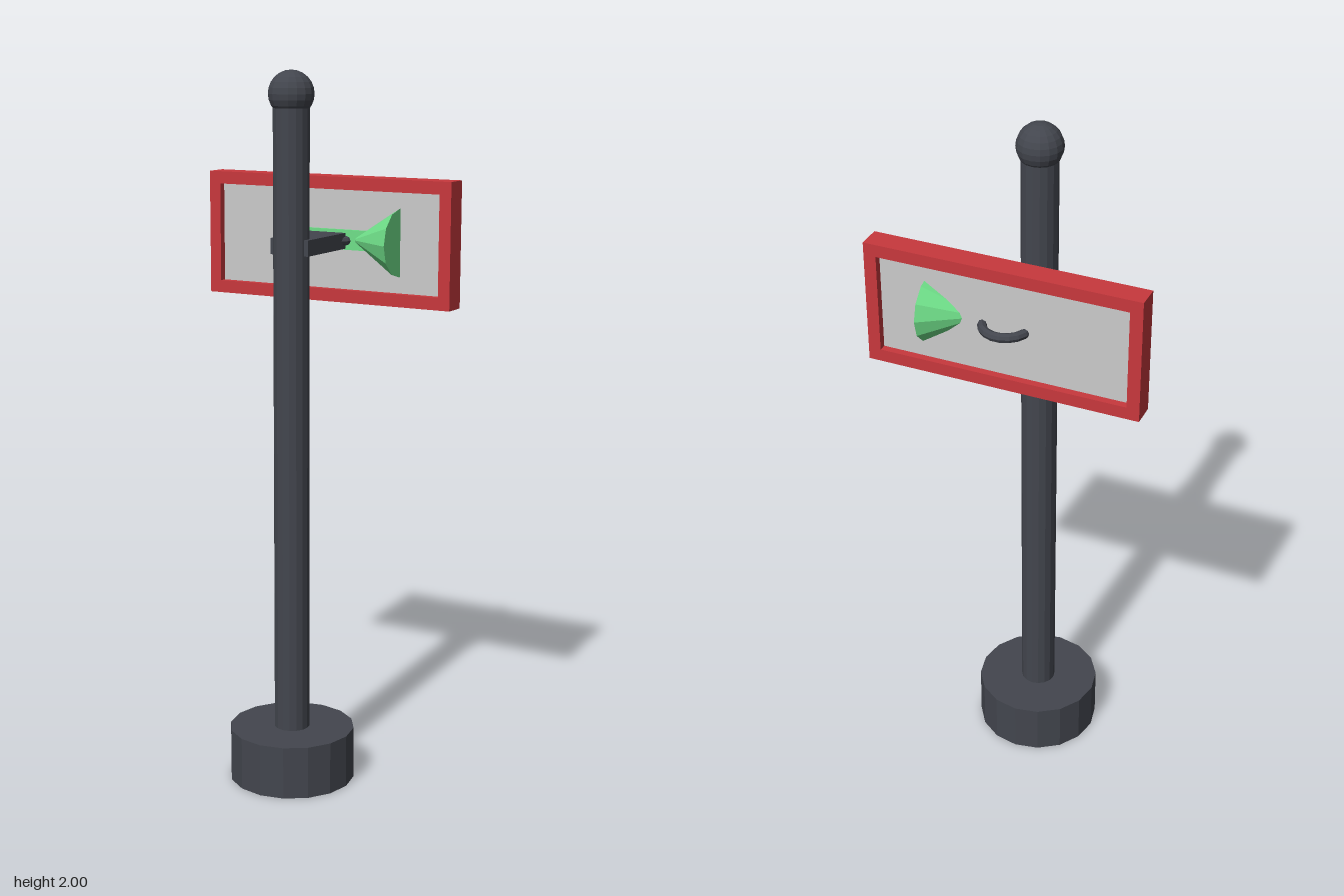
import * as THREE from 'three';

const paint = (color) => new THREE.MeshStandardMaterial({ color, flatShading: true });

export function createModel() {
  const model = new THREE.Group();
  const iron = paint(0x43464e);
  const red = paint(0xc8383d);
  const green = paint(0x70e08a);
  const ivory = paint(0xd3d3cf);

  const add = (name, geometry, material, x, y, z) => {
    const mesh = new THREE.Mesh(geometry, material);
    mesh.name = name;
    mesh.position.set(x, y, z);
    model.add(mesh);
    return mesh;
  };

  const postZ = 0.062;
  const signY = 1.53;
  const signZ = -0.162;

  // Post with its foot and ball finial
  add('base', new THREE.CylinderGeometry(0.178, 0.178, 0.15, 16), iron, 0, 0.075, postZ);
  add('post', new THREE.CylinderGeometry(0.05, 0.05, 1.91, 16), iron, 0, 0.965, postZ);
  add('finial', new THREE.SphereGeometry(0.063, 16, 12), iron, 0, 1.937, postZ);

  // Flat arm reaching back to the ring that holds the sign
  add('arm', new THREE.BoxGeometry(0.118, 0.044, 0.21), iron, 0, 1.528, -0.03);
  const ring = add('ring', new THREE.TorusGeometry(0.062, 0.013, 8, 18), iron, 0, 1.528, -0.158);
  ring.rotation.x = Math.PI / 2;

  // Rectangular frame with an opening for the panel
  const rectangle = (shape, w, h) => shape
    .moveTo(-w, -h).lineTo(w, -h).lineTo(w, h).lineTo(-w, h).closePath();
  const outline = new THREE.Shape();
  rectangle(outline, 0.385, 0.175);
  const opening = new THREE.Path();
  rectangle(opening, 0.35, 0.14);
  outline.holes.push(opening);
  const frame = new THREE.ExtrudeGeometry(outline, { depth: 0.066, bevelEnabled: false });
  frame.translate(0, 0, -0.033);
  add('signFrame', frame, red, 0, signY, signZ);
  add('signPanel', new THREE.BoxGeometry(0.7, 0.28, 0.024), ivory, 0, signY, signZ);

  // Arrow: bar on the front of the panel and a cone passing through it
  add('arrowBar', new THREE.BoxGeometry(0.26, 0.056, 0.016), green, 0, signY, -0.149);
  const head = add('arrowHead', new THREE.ConeGeometry(0.095, 0.147, 12), green, 0.149, signY, -0.147);
  head.rotation.z = Math.PI / 2;

  return model;
}
